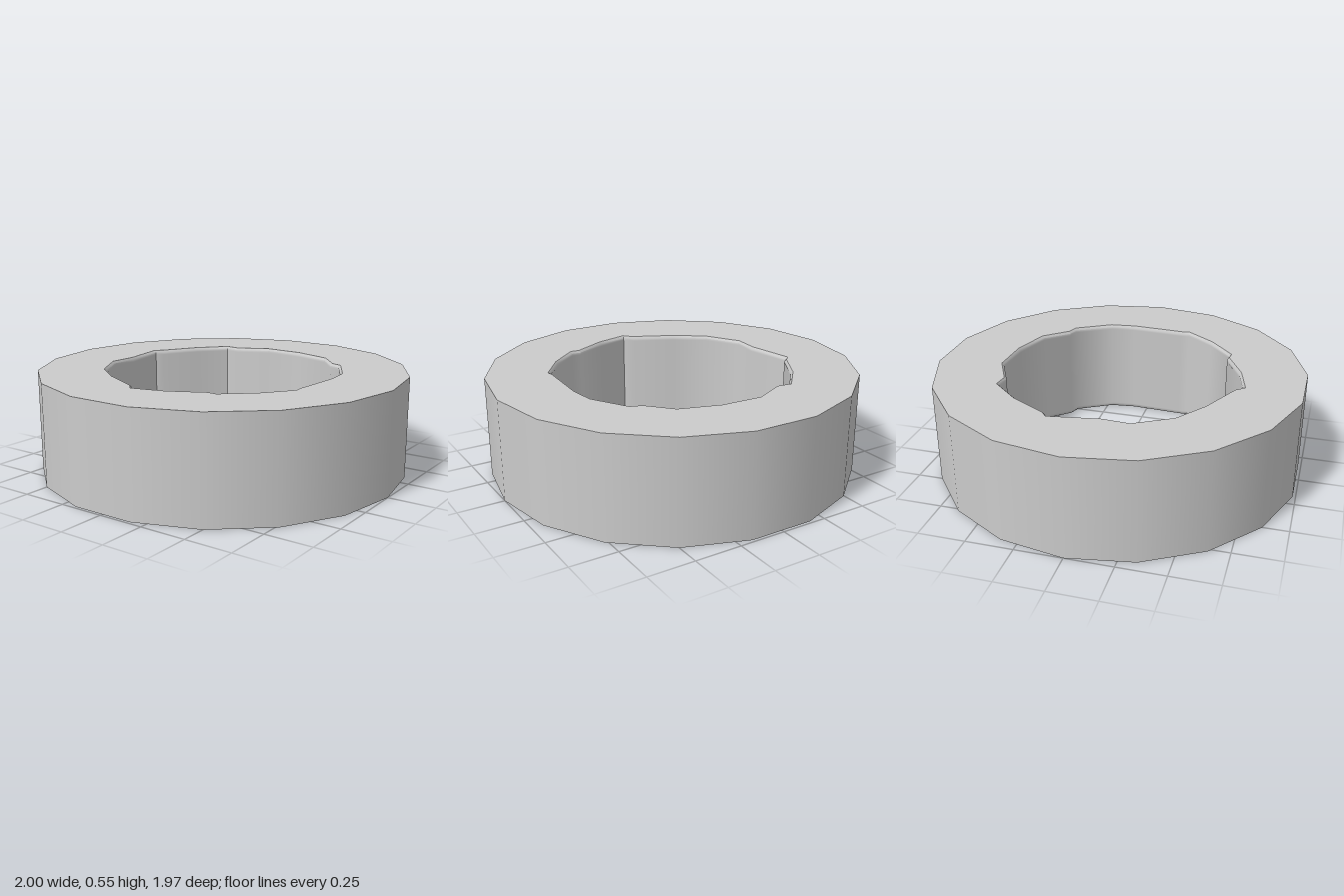
import * as THREE from 'three';
import { toCreasedNormals } from 'three/addons/utils/BufferGeometryUtils.js';

const HEIGHT = 0.545, SIDES = 18, SOFT = 0.012;

// Ragged outline of the bore, as [x, z]
const BORE = [
  [-0.11, -0.63], [0.11, -0.62], [0.32, -0.555], [0.43, -0.43], [0.49, -0.41],
  [0.60, -0.22], [0.617, -0.08], [0.60, 0.21], [0.605, 0.255], [0.49, 0.41],
  [0.34, 0.54], [0.29, 0.535], [0.11, 0.628], [-0.07, 0.675], [-0.11, 0.628],
  [-0.33, 0.52], [-0.49, 0.405], [-0.60, 0.215], [-0.59, 0.07], [-0.635, -0.19],
  [-0.60, -0.22], [-0.49, -0.41], [-0.36, -0.555], [-0.28, -0.545],
];

// Bore outline widened slightly, away from the axis
function widened(amount) {
  return BORE.map(([x, z]) => {
    const s = 1 + amount / Math.hypot(x, z);
    return [x * s, z * s];
  });
}

// Flat ring between the outer polygon and the bore; side is 1 for top, -1 for bottom
function capGeometry(side) {
  const outer = [];
  for (let i = 0; i < SIDES; i++) {
    const a = (i / SIDES) * Math.PI * 2;
    outer.push(new THREE.Vector2(Math.cos(a), Math.sin(a)));
  }
  const shape = new THREE.Shape(outer);
  shape.holes.push(new THREE.Path(widened(SOFT).map(([x, z]) => new THREE.Vector2(x, -side * z))));
  const geometry = new THREE.ShapeGeometry(shape);
  geometry.rotateX(-side * Math.PI / 2);
  geometry.translate(0, side > 0 ? HEIGHT : 0, 0);
  return geometry;
}

// Bore wall with softened rims, lofted through [height, widening] levels
function boreGeometry() {
  const levels = [
    [0, SOFT], [SOFT, 0], [2 * SOFT, 0],
    [HEIGHT - 2 * SOFT, 0], [HEIGHT - SOFT, 0], [HEIGHT, SOFT],
  ];
  const positions = [], index = [], n = BORE.length;
  for (const [y, amount] of levels) {
    for (const [x, z] of widened(amount)) positions.push(x, y, z);
  }
  for (let k = 0; k < levels.length - 1; k++) {
    for (let i = 0; i < n; i++) {
      const j = (i + 1) % n;
      const a = k * n + i, b = k * n + j, c = a + n, d = b + n;
      index.push(a, b, c, b, d, c);
    }
  }
  const geometry = new THREE.BufferGeometry();
  geometry.setAttribute('position', new THREE.Float32BufferAttribute(positions, 3));
  geometry.setIndex(index);
  return toCreasedNormals(geometry, 0.85);
}

export function createModel() {
  const group = new THREE.Group();
  group.name = 'ring';
  const material = new THREE.MeshStandardMaterial({ color: 0xcccccc });
  const add = (name, geometry) => {
    const mesh = new THREE.Mesh(geometry, material);
    mesh.name = name;
    group.add(mesh);
  };

  // Outer wall, with a corner on the x axis
  const wall = new THREE.CylinderGeometry(1, 1, HEIGHT, SIDES, 1, true, Math.PI / 2);
  wall.translate(0, HEIGHT / 2, 0);
  add('outerWall', wall);

  add('topFace', capGeometry(1));
  add('bottomFace', capGeometry(-1));
  add('boreWall', boreGeometry());
  return group;
}
